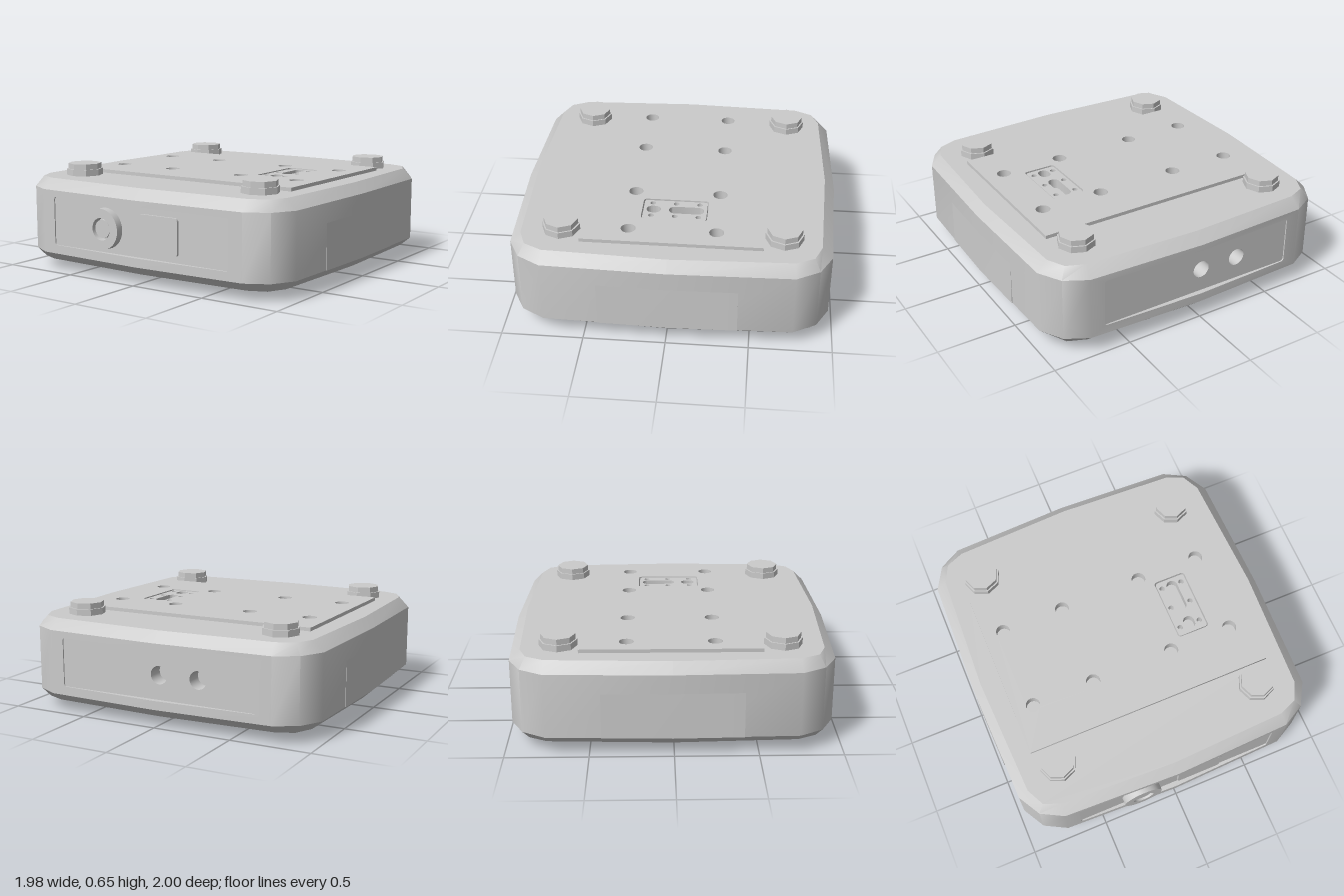
import * as THREE from 'three';
import { mergeGeometries, toCreasedNormals } from 'three/addons/utils/BufferGeometryUtils.js';

const mat = new THREE.MeshStandardMaterial({ color: 0xcccccc });
const inside = new THREE.MeshStandardMaterial({ color: 0xcccccc, side: THREE.DoubleSide });

function add(parent, name, geo, x = 0, y = 0, z = 0, material = mat) {
  const m = new THREE.Mesh(geo, material);
  m.name = name;
  m.position.set(x, y, z);
  parent.add(m);
  return m;
}

function circle(x, y, r) {
  return new THREE.Path().absarc(x, y, r, 0, Math.PI * 2, false);
}

function slot(x, y, r, half) {
  const p = new THREE.Path();
  p.absarc(x, y + half, r, 0, Math.PI, false);
  p.absarc(x, y - half, r, Math.PI, Math.PI * 2, false);
  p.closePath();
  return p;
}

function roundRect(x0, y0, x1, y1, r) {
  const s = new THREE.Shape();
  s.absarc(x1 - r, y1 - r, r, 0, Math.PI / 2, false);
  s.absarc(x0 + r, y1 - r, r, Math.PI / 2, Math.PI, false);
  s.absarc(x0 + r, y0 + r, r, Math.PI, Math.PI * 1.5, false);
  s.absarc(x1 - r, y0 + r, r, Math.PI * 1.5, Math.PI * 2, false);
  s.closePath();
  return s;
}

const extrude = (shape, depth, curveSegments = 10) =>
  new THREE.ExtrudeGeometry(shape, { depth, bevelEnabled: false, curveSegments });

// Quarter outlines (x, z) of the case at its widest and at its top and bottom edges
const WIDE = [[0, 0.9925], [0.745, 0.965], [0.885, 0.89], [0.965, 0.75], [0.985, 0]];
const NARROW = [[0, 0.93], [0.735, 0.9], [0.845, 0.855], [0.9, 0.745], [0.93, 0]];
const Y = [0.055, 0.11, 0.51, 0.575];
const WALL = 0.04;

function fullRing(q) {
  const back = q.slice(0, -1).reverse().map(([x, z]) => [x, -z]);
  const right = [...q, ...back];
  return [...right, ...right.slice(1, -1).reverse().map(([x, z]) => [-x, z])];
}

// Half of an end wall, bent to the bowed outline, with a window for the panel
function endWall(s) {
  const p = new THREE.Shape();
  p.moveTo(0, Y[1]);
  p.lineTo(s * 0.745, Y[1]);
  p.lineTo(s * 0.745, Y[2]);
  p.lineTo(0, Y[2]);
  p.lineTo(0, 0.47);
  p.lineTo(s * 0.635, 0.47);
  p.quadraticCurveTo(s * 0.655, 0.47, s * 0.655, 0.45);
  p.lineTo(s * 0.655, 0.185);
  p.quadraticCurveTo(s * 0.655, 0.165, s * 0.635, 0.165);
  p.lineTo(0, 0.165);
  p.closePath();
  const g = extrude(p, WALL, 4);
  const a = g.attributes.position;
  for (let i = 0; i < a.count; i++) {
    a.setZ(i, a.getZ(i) - WALL + 0.9925 - 0.0275 * Math.abs(a.getX(i)) / 0.745);
  }
  return g;
}

function caseGeometry() {
  const rings = [NARROW, WIDE, WIDE, NARROW].map(fullRing);
  const n = rings[0].length;
  const pos = [];
  const put = (k, i) => pos.push(rings[k][i % n][0], Y[k], rings[k][i % n][1]);
  for (let k = 0; k < 3; k++) {
    for (let i = 0; i < n; i++) {
      if (k === 1 && [n - 1, 0, 7, 8].includes(i)) continue; // end walls go here
      put(k, i); put(k, i + 1); put(k + 1, i + 1);
      put(k, i); put(k + 1, i + 1); put(k + 1, i);
    }
  }
  const shell = new THREE.BufferGeometry();
  shell.setAttribute('position', new THREE.Float32BufferAttribute(pos, 3));

  const outline = () => new THREE.Shape(rings[0].map(([x, z]) => new THREE.Vector2(x, z)));
  const top = outline();
  top.holes.push(roundRect(-0.8, -0.5375, 0.8, 0.5525, 0.001));
  const parts = [
    shell,
    new THREE.ShapeGeometry(top).rotateX(-Math.PI / 2).translate(0, Y[3], 0),
    new THREE.ShapeGeometry(outline()).rotateX(Math.PI / 2).translate(0, Y[0], 0),
  ];
  for (const s of [1, -1]) parts.push(endWall(s), endWall(s).rotateY(Math.PI));
  const clean = parts.map((g) => {
    const c = g.index ? g.toNonIndexed() : g;
    c.deleteAttribute('uv');
    c.deleteAttribute('normal');
    return c;
  });
  return toCreasedNormals(mergeGeometries(clean), 0.66);
}

export function createModel() {
  const model = new THREE.Group();
  const body = new THREE.Group();
  body.name = 'body';
  body.position.z = -0.0075;
  model.add(body);
  add(body, 'case', caseGeometry(), 0, 0, 0, inside);

  // Front panel with dial and screen
  const front = new THREE.Group();
  front.name = 'frontPanel';
  body.add(front);
  add(front, 'frontPlate', new THREE.PlaneGeometry(1.32, 0.32), 0, 0.3175, 0.96);
  const ring = new THREE.Shape().absarc(0, 0, 0.125, 0, Math.PI * 2, false);
  ring.holes.push(circle(0, 0, 0.068));
  add(front, 'dialRing', toCreasedNormals(extrude(ring, 0.0475, 16), 0.6), -0.24, 0.315, 0.96);
  add(front, 'dialHub', new THREE.CylinderGeometry(0.056, 0.056, 0.035, 24).rotateX(Math.PI / 2), -0.24, 0.315, 0.9775);
  add(front, 'screen', extrude(roundRect(0.015, 0.205, 0.305, 0.43, 0.02), 0.015, 4), 0, 0, 0.96);

  // Back panel with two round sockets
  const back = new THREE.Group();
  back.name = 'backPanel';
  back.rotation.y = Math.PI;
  body.add(back);
  const backShape = roundRect(-0.66, 0.16, 0.66, 0.475, 0.001);
  const sockets = [0.02, 0.28];
  for (const x of sockets) backShape.holes.push(circle(x, 0.315, 0.055));
  add(back, 'backPlate', new THREE.ShapeGeometry(backShape, 16), 0, 0, 0.96);
  for (const x of sockets) {
    add(back, 'socketBore', new THREE.CylinderGeometry(0.055, 0.055, 0.1, 32, 1, true).rotateX(Math.PI / 2), x, 0.315, 0.91, inside);
    add(back, 'socketFloor', new THREE.CircleGeometry(0.055, 32), x, 0.315, 0.86);
  }

  // Thin side covers, proud at the bottom and flush at the top
  for (const turn of [0, Math.PI]) {
    const g = new THREE.BoxGeometry(0.02, 0.31, 0.84, 1, 1, 2);
    const a = g.attributes.position;
    for (let i = 0; i < a.count; i++) {
      const lean = a.getY(i) > 0 ? 0.9745 : 0.98;
      a.setX(i, a.getX(i) + lean - 0.0267 * Math.abs(a.getZ(i)));
    }
    g.computeVertexNormals();
    add(body, 'sideCover', g, 0, 0.265, 0).rotation.y = turn;
  }

  // Mounting plate with drilled holes and a window for the connector
  const plate = roundRect(-0.8, -0.53, 0.8, 0.56, 0.001);
  for (const x of [-0.675, -0.27, 0.265, 0.67]) {
    for (const z of [-0.28, 0.25]) plate.holes.push(circle(x, -z, 0.045));
  }
  plate.holes.push(roundRect(0.345, -0.19, 0.555, 0.215, 0.02));
  const lay = (g) => toCreasedNormals(g.rotateX(-Math.PI / 2), 0.6);
  add(model, 'mountingPlate', lay(extrude(plate, 0.067)), 0, 0.53, 0);
  add(model, 'holeFloor', new THREE.PlaneGeometry(1.58, 1.07).rotateX(-Math.PI / 2), 0, 0.531, -0.015);

  // Connector insert with slots and pin holes
  const insert = roundRect(0.352, -0.183, 0.548, 0.208, 0.016);
  insert.holes.push(slot(0.448, 0.082, 0.036, 0.072), slot(0.448, -0.12, 0.036, 0.008));
  for (const x of [0.381, 0.515]) {
    for (const y of [0.16, 0.015, -0.13]) insert.holes.push(circle(x, y, 0.017));
  }
  add(model, 'connector', lay(extrude(insert, 0.062)), 0, 0.53, 0);

  // Corner knobs and the round foot underneath
  const flat = (r, h, n) => toCreasedNormals(new THREE.CylinderGeometry(r, r, h, n), 0.3);
  for (const x of [-0.67, 0.67]) {
    for (const z of [-0.685, 0.655]) {
      add(model, 'knobBase', flat(0.115, 0.05, 8), x, 0.59, z);
      add(model, 'knobCap', flat(0.105, 0.04, 8), x, 0.63, z);
    }
  }
  add(model, 'foot', flat(0.236, 0.06, 8), 0, 0.03, 0);
  return model;
}
